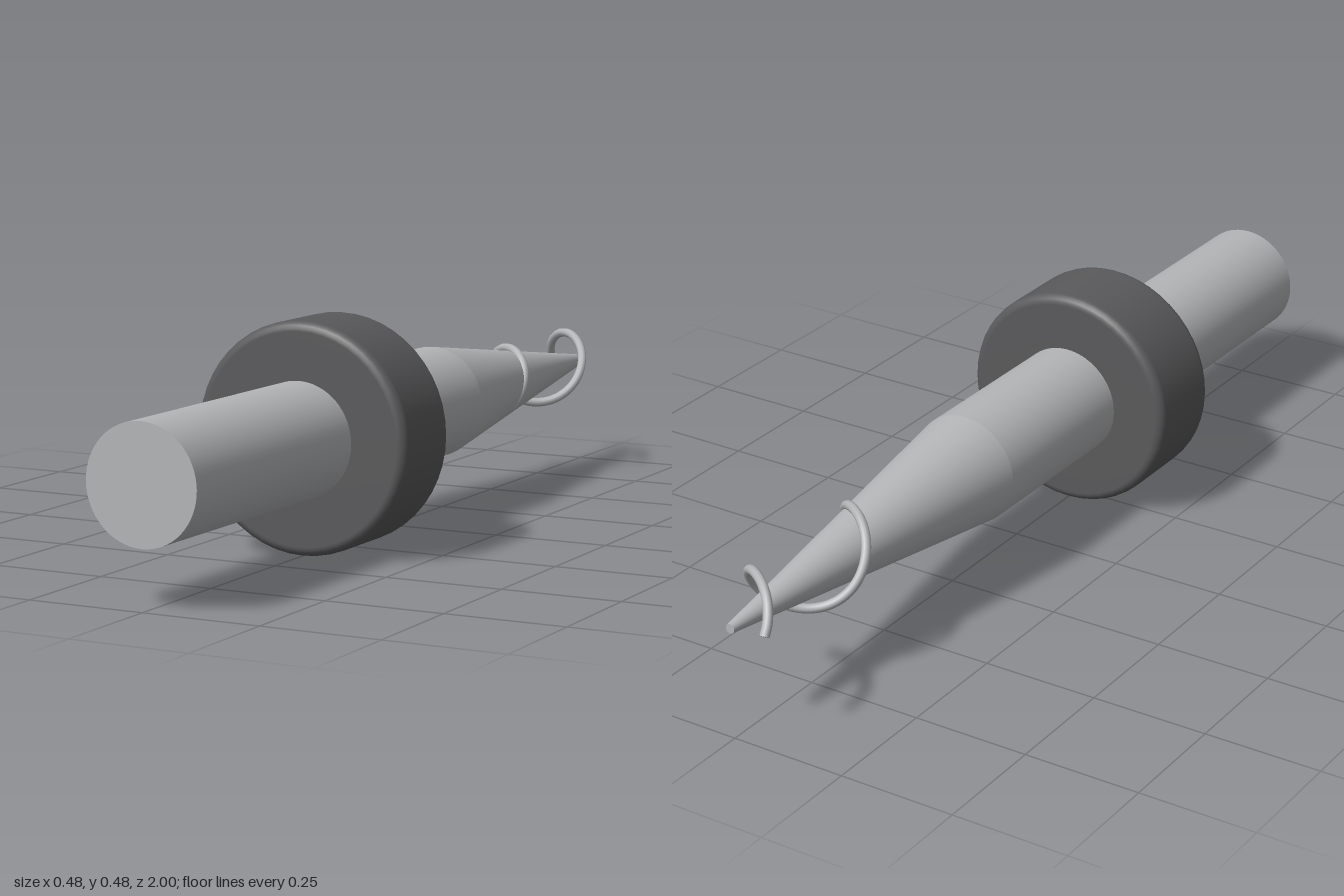
import * as THREE from 'three';

const AXIS_Y = 0.24;

export function createModel() {
  const group = new THREE.Group();
  const steel = new THREE.MeshStandardMaterial({ color: 0xb4b5b7 });
  steel.name = 'light steel';
  const rubber = new THREE.MeshStandardMaterial({ color: 0x5a5a5c });
  rubber.name = 'dark grey';

  const add = (name, geometry, material) => {
    const mesh = new THREE.Mesh(geometry, material);
    mesh.name = name;
    group.add(mesh);
    return mesh;
  };
  // Round part along z, from its back end to its front end
  const rod = (name, rBack, rFront, zBack, zFront) => {
    const g = new THREE.CylinderGeometry(rFront, rBack, zFront - zBack, 64);
    g.rotateX(Math.PI / 2);
    g.translate(0, AXIS_Y, (zBack + zFront) / 2);
    return add(name, g, steel);
  };

  rod('shaft', 0.12, 0.12, -0.2, 1);
  rod('taperedTip', 0.01, 0.12, -1, -0.2);

  // Collar with rounded rims
  const R = 0.24, half = 0.1, b = 0.02;
  const profile = [new THREE.Vector2(0.115, -half)];
  for (const side of [-1, 1]) {
    for (let i = 0; i <= 5; i++) {
      const a = (side < 0 ? i / 5 - 1 : i / 5) * Math.PI / 2;
      profile.push(new THREE.Vector2(R - b + b * Math.cos(a), side * (half - b) + b * Math.sin(a)));
    }
  }
  profile.push(new THREE.Vector2(0.115, half));
  const collar = new THREE.LatheGeometry(profile, 48);
  collar.rotateX(Math.PI / 2);
  collar.translate(0, AXIS_Y, 0.3);
  add('collar', collar, rubber);

  // Wire spiralling round the tip
  const pitch = 0.32, wireR = 0.01, coilR = 0.073;
  const points = [];
  for (let i = 0; i <= 56; i++) {
    const z = -0.43 - 0.56 * i / 56;
    const a = Math.PI - (z + 0.99) / pitch * Math.PI * 2;
    points.push(new THREE.Vector3(coilR * Math.cos(a), AXIS_Y + coilR * Math.sin(a), z));
  }
  const path = new THREE.CatmullRomCurve3(points);
  add('spiralWire', new THREE.TubeGeometry(path, 120, wireR, 10), steel);

  // Flat ends of the wire
  for (const t of [0, 1]) {
    const cap = add('wireEnd', new THREE.CircleGeometry(wireR, 10), steel);
    cap.position.copy(path.getPointAt(t));
    const out = path.getTangentAt(t).multiplyScalar(t ? 1 : -1);
    cap.quaternion.setFromUnitVectors(new THREE.Vector3(0, 0, 1), out);
  }
  return group;
}
